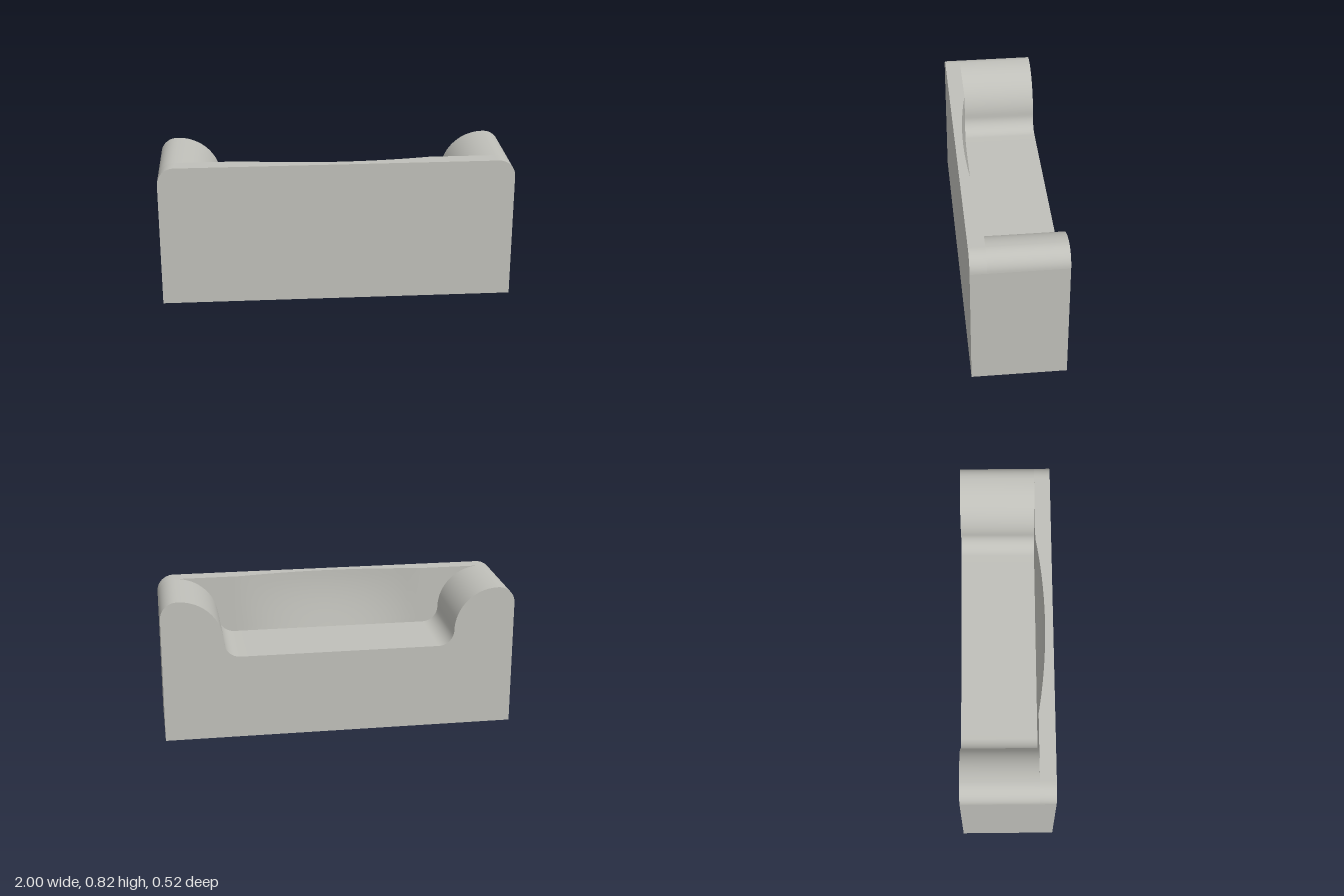
import * as THREE from 'three';

const HALF_DEPTH = 0.26, BACK_Z = 0.17, TOP = 0.82, SEAT = 0.485;
const ARM_X = 0.9, ARM_Y = 0.575, ARM_R = 0.245; // inner roll of each arm
const CORNER = 0.095; // outer rounding of each arm
const FILLET = 0.09; // blend from arm to seat
const SCOOP_HALF = 0.52, SCOOP_DEPTH = 0.045; // hollow in the backrest

// Half profile from the outer side (x = 1) to the middle: x, seat/arm height, top height
function halfProfile() {
  const points = [];
  const add = (x, y, top = TOP) => points.push({ x, y, top });
  for (let i = 0; i <= 12; i++) {
    const a = (i / 12) * Math.PI / 2;
    const y = TOP - CORNER + CORNER * Math.sin(a);
    add(1 - CORNER + CORNER * Math.cos(a), y, y);
  }
  for (let i = 0; i <= 20; i++) {
    const a = (i / 20) * Math.PI / 2;
    add(ARM_X - ARM_R * Math.sin(a), ARM_Y + ARM_R * Math.cos(a));
  }
  const edge = ARM_X - ARM_R;
  for (let i = 1; i <= 10; i++) {
    const a = (i / 10) * Math.PI / 2;
    add(edge - FILLET + FILLET * Math.cos(a), SEAT + FILLET * (1 - Math.sin(a)));
  }
  for (let i = 0; i <= 10; i++) add(SCOOP_HALF * (1 - i / 10), SEAT);
  return points;
}

// How far the top edge of the backrest is hollowed at x
function scoop(x) {
  const r = (SCOOP_HALF ** 2 + SCOOP_DEPTH ** 2) / (2 * SCOOP_DEPTH);
  return Math.max(0, Math.sqrt(r * r - x * x) - (r - SCOOP_DEPTH));
}

// Surface through rows of points, each row a rule applied to every profile point
function strip(columns, rows) {
  const positions = [], index = [], n = columns.length;
  rows.forEach((row, i) => columns.forEach((p, j) => {
    const [y, z] = row(p);
    positions.push(p.x, y, z);
    if (i < rows.length - 1 && j < n - 1) {
      const a = i * n + j, b = a + n;
      index.push(a, b, a + 1, b, b + 1, a + 1);
    }
  }));
  const geometry = new THREE.BufferGeometry();
  geometry.setAttribute('position', new THREE.Float32BufferAttribute(positions, 3));
  geometry.setIndex(index);
  geometry.computeVertexNormals();
  return geometry;
}

export function createModel() {
  const model = new THREE.Group();
  model.name = 'sofa';
  const stone = new THREE.MeshStandardMaterial({ color: 0xc0c0ba });
  stone.name = 'warm grey';

  const half = halfProfile();
  const left = half.slice(0, -1).reverse();
  const columns = [...half.map(p => ({ ...p, x: -p.x })), ...left];
  const inner = columns.filter(p => Math.abs(p.x) <= ARM_X + 1e-6);

  const add = (name, geometry) => {
    const mesh = new THREE.Mesh(geometry, stone);
    mesh.name = name;
    model.add(mesh);
    return mesh;
  };

  // Open side with the seat and arm outline
  add('seatSidePanel', strip(columns, [() => [0, -HALF_DEPTH], p => [p.y, -HALF_DEPTH]]));
  // Seat, fillets and rolled arms
  add('seatAndArms', strip(columns, [p => [p.y, -HALF_DEPTH], p => [p.y, BACK_Z]]));
  // Hollowed face of the backrest, steeper towards its top
  const rows = [];
  for (let i = 0; i <= 10; i++) {
    const t = i / 10;
    rows.push(p => [p.y + (p.top - p.y) * t, BACK_Z + scoop(p.x) * Math.sin(t * Math.PI / 2)]);
  }
  add('backrestHollow', strip(inner, rows));
  // Top of the backrest, running into the rounded corners
  add('backrestTop', strip(columns, [p => [p.top, BACK_Z + scoop(p.x)], p => [p.top, HALF_DEPTH]]));
  // Flat outer panel and underside
  add('backrestPanel', strip(columns, [p => [p.top, HALF_DEPTH], () => [0, HALF_DEPTH]]));
  add('underside', strip(columns, [() => [0, HALF_DEPTH], () => [0, -HALF_DEPTH]]));

  // Flat ends
  const endHeight = TOP - CORNER;
  for (const side of [-1, 1]) {
    const end = add(side > 0 ? 'leftEnd' : 'rightEnd', new THREE.PlaneGeometry(2 * HALF_DEPTH, endHeight));
    end.position.set(side, endHeight / 2, 0);
    end.rotation.y = side * Math.PI / 2;
  }
  return model;
}
